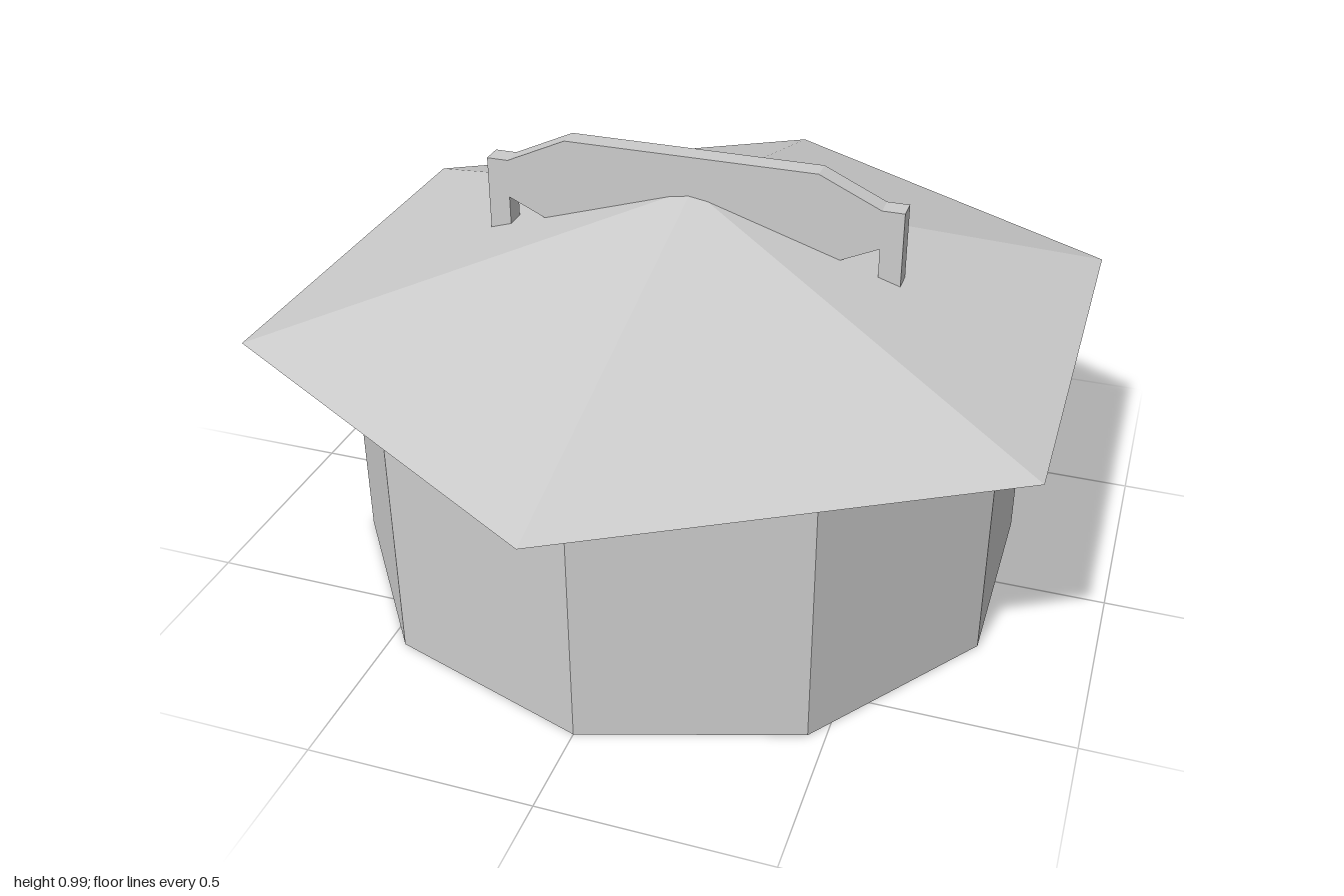
import * as THREE from 'three';

export function createModel() {
  const model = new THREE.Group();
  const material = new THREE.MeshStandardMaterial({
    color: 0xcccccc, flatShading: true, side: THREE.DoubleSide,
  });
  const thickness = 0.05;

  const add = (name, geometry, x = 0, y = 0, z = 0) => {
    const mesh = new THREE.Mesh(geometry, material);
    mesh.name = name;
    mesh.position.set(x, y, z);
    model.add(mesh);
    return mesh;
  };

  // Ten-sided open wall
  add('wall', new THREE.CylinderGeometry(0.787, 0.787, 0.617, 10, 1, true), 0, 0.3085, 0);

  // Six-sided pointed roof with a flat underside
  add('roof', new THREE.ConeGeometry(1, 0.275, 6), 0, 0.7625, 0);

  // Ridge frame: chamfered plate on two legs, passing through the roof
  const outline = [
    [0.29, 0.985], [0.43, 0.92], [0.48, 0.92], [0.48, 0.31],
    [0.43, 0.31], [0.43, 0.83], [0.29, 0.765],
  ];
  const mirrored = outline.map(([x, y]) => [-x, y]).reverse();
  const shape = new THREE.Shape([...outline, ...mirrored].map(([x, y]) => new THREE.Vector2(x, y)));
  add('ridgeFrame', new THREE.ExtrudeGeometry(shape, { depth: thickness, bevelEnabled: false }),
    0, 0, -thickness / 2);

  // Inner beam hung from the plate by a short post
  add('innerBeam', new THREE.BoxGeometry(0.59, 0.155, thickness), 0, 0.37, 0);
  add('innerPost', new THREE.BoxGeometry(0.12, 0.33, thickness), 0, 0.61, 0);

  return model;
}
